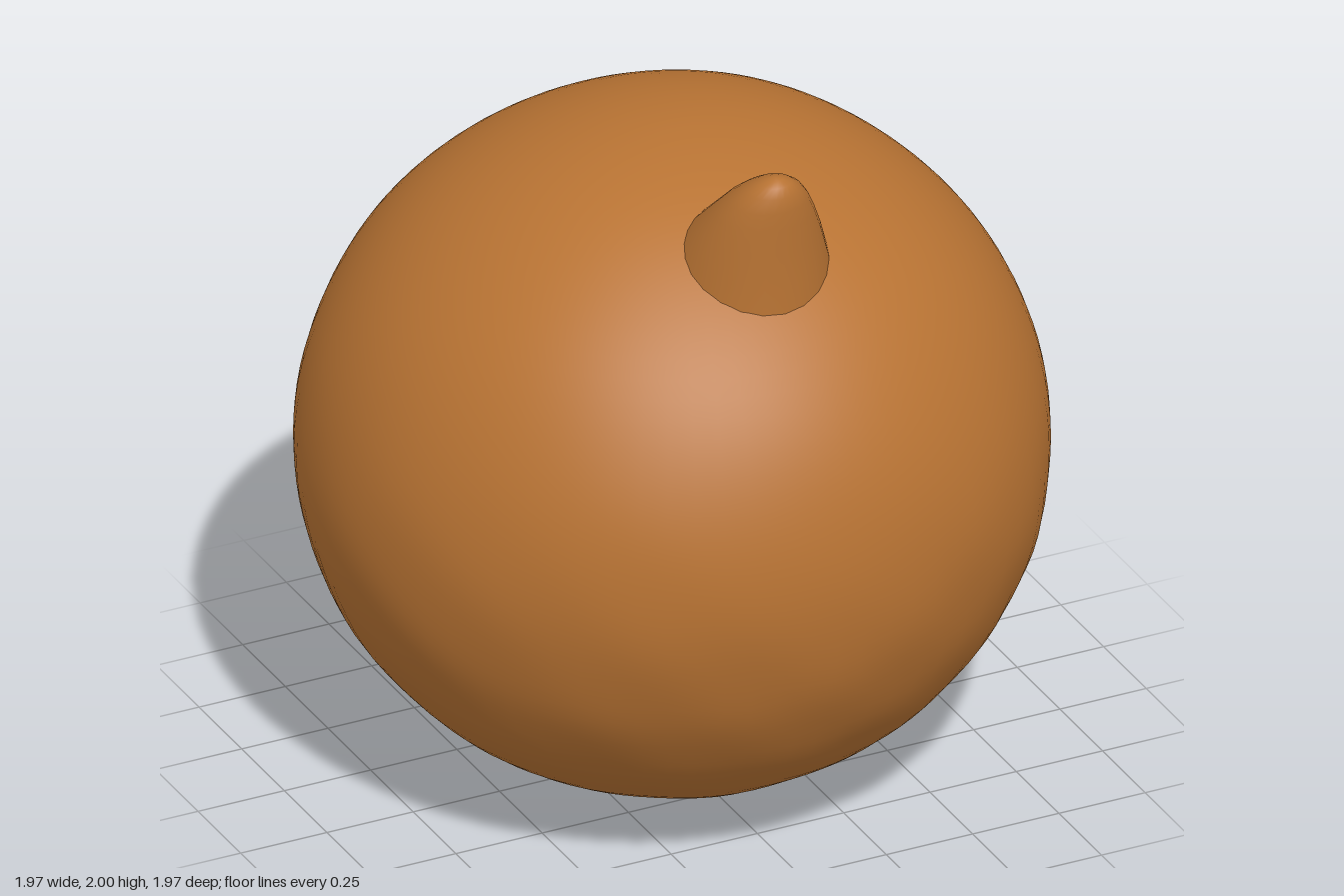
import * as THREE from 'three';
import { mergeVertices } from 'three/addons/utils/BufferGeometryUtils.js';

const copper = new THREE.MeshStandardMaterial({ color: 0xb87333 });

// Weld seams so the normals run smoothly all the way round
function weld(geo) {
  geo.deleteAttribute('uv');
  geo.deleteAttribute('normal');
  const g = mergeVertices(geo, 1e-4);
  g.computeVertexNormals();
  return g;
}

// Slightly flattened ball with a gently hammered surface, rougher low down
function makeBody() {
  const geo = new THREE.SphereGeometry(1, 80, 56);
  const p = geo.attributes.position;
  const v = new THREE.Vector3();
  for (let i = 0; i < p.count; i++) {
    v.fromBufferAttribute(p, i);
    const { x, y, z } = v;
    const broad = Math.sin(5 * x + 2 * y + 1) * Math.sin(6 * z - 3 * y) * Math.cos(4 * y + x);
    const fine = Math.sin(13 * x - 5 * z) * Math.sin(12 * y + 4 * x + 2) * Math.cos(11 * z + 3 * y);
    const rough = THREE.MathUtils.smoothstep(-y, -0.5, 0.5);
    v.multiplyScalar(1 + 0.004 * broad + 0.005 * rough * fine);
    p.setXYZ(i, v.x * 0.985, v.y * 0.935, v.z * 0.985);
  }
  const body = new THREE.Mesh(weld(geo), copper);
  body.position.y = 0.935;
  body.name = 'body';
  return body;
}

// Rounded horn: upright front, sloping back. Rows: height, back z, front z, half width
function makeHorn() {
  const rows = [
    [1.60, 0.16, 0.665, 0.235],
    [1.70, 0.24, 0.66, 0.207],
    [1.80, 0.335, 0.66, 0.168],
    [1.87, 0.41, 0.66, 0.135],
    [1.92, 0.462, 0.66, 0.108],
    [1.96, 0.515, 0.656, 0.078],
    [1.985, 0.556, 0.642, 0.047],
    [1.997, 0.585, 0.625, 0.02],
    [2.00, 0.605, 0.605, 0],
  ];
  const sides = 24;
  const pos = [], index = [];
  rows.forEach(([y, back, front, w], r) => {
    for (let s = 0; s < sides; s++) {
      const a = (s / sides) * Math.PI * 2;
      pos.push(Math.sin(a) * w, y, (back + front) / 2 + Math.cos(a) * (front - back) / 2);
      if (r === 0) continue;
      const n = (s + 1) % sides, lo = (r - 1) * sides, hi = r * sides;
      index.push(lo + s, lo + n, hi + n);
      if (r < rows.length - 1) index.push(lo + s, hi + n, hi + s);
    }
  });
  const geo = new THREE.BufferGeometry();
  geo.setAttribute('position', new THREE.Float32BufferAttribute(pos, 3));
  geo.setIndex(index);
  const horn = new THREE.Mesh(weld(geo), copper);
  horn.name = 'horn';
  return horn;
}

export function createModel() {
  copper.name = 'copper brown';
  const model = new THREE.Group();
  model.name = 'hornedBall';
  model.add(makeBody(), makeHorn());
  return model;
}
